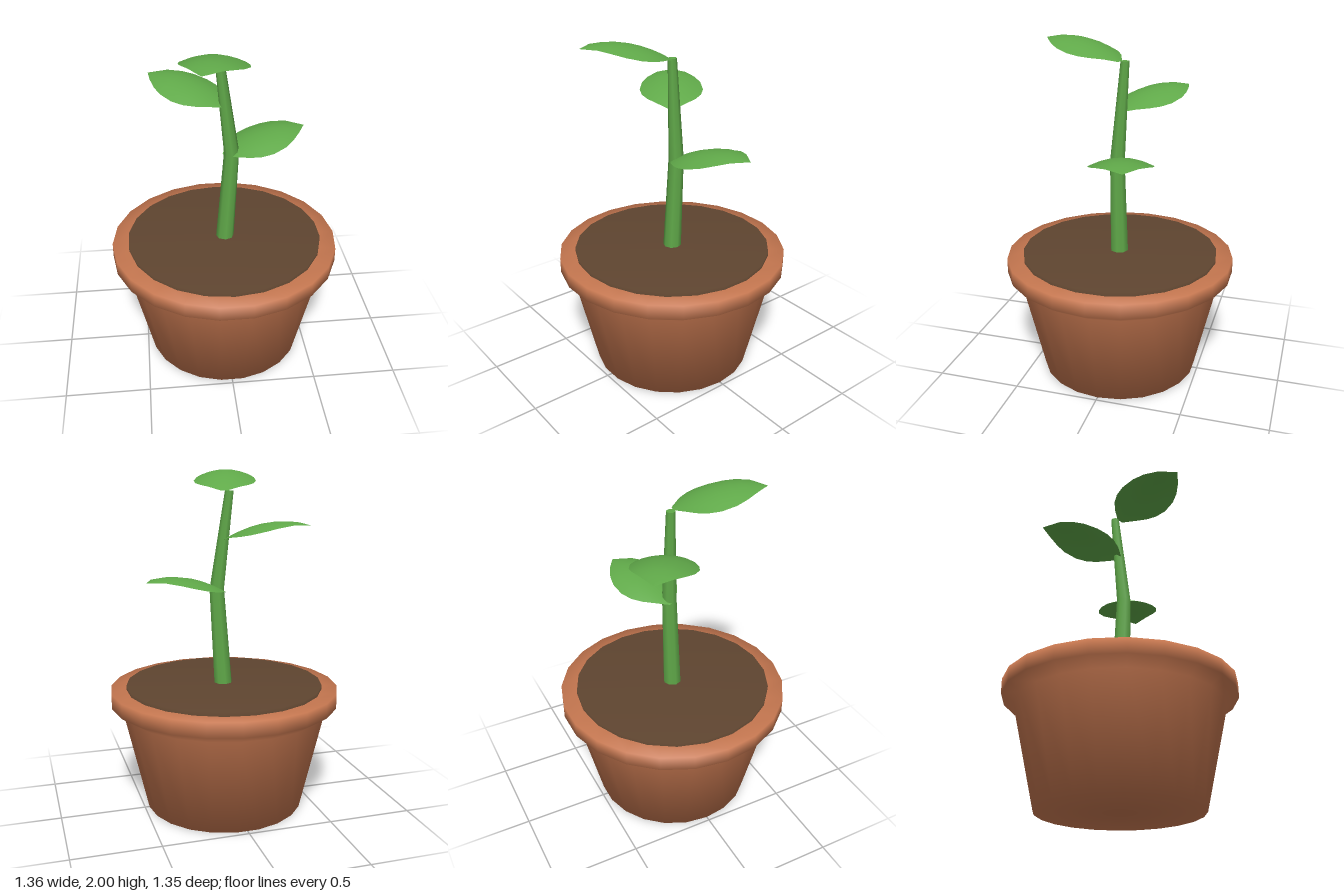
import * as THREE from 'three';

const terracotta = new THREE.MeshStandardMaterial({ name: 'terracotta', color: 0xc4764f });
const earth = new THREE.MeshStandardMaterial({ name: 'earth', color: 0x5f4530 });
const green = new THREE.MeshStandardMaterial({ name: 'green', color: 0x60a949, side: THREE.DoubleSide });

const SIDES = 22;

function lathe(name, points, material) {
  const profile = points.map(([r, y]) => new THREE.Vector2(r, y));
  const mesh = new THREE.Mesh(new THREE.LatheGeometry(profile, SIDES), material);
  mesh.name = name;
  return mesh;
}

// Tapered stem whose rings follow a bent centre line: [y, x, z, radius]
function makeStem() {
  const rings = [[1.885, -0.025, -0.022, 0.026], [1.32, 0.043, 0.003, 0.044], [0.74, 0.004, 0.002, 0.054]];
  const geo = new THREE.CylinderGeometry(1, 1, 2, 8, 2);
  const p = geo.attributes.position;
  for (let i = 0; i < p.count; i++) {
    const [y, x, z, r] = rings[1 - Math.round(p.getY(i))];
    p.setXYZ(i, x + p.getX(i) * r, y, z + p.getZ(i) * r);
  }
  geo.computeBoundingSphere();
  const mesh = new THREE.Mesh(geo, green);
  mesh.name = 'stem';
  return mesh;
}

// Arched leaf along +x, its edges drooping from the midrib: [along, half width]
function makeLeafGeometry() {
  const outline = [[0, 0.02], [0.1, 0.09], [0.2, 0.14], [0.31, 0.172], [0.44, 0.186],
    [0.6, 0.174], [0.72, 0.143], [0.85, 0.088], [1, 0]];
  const rows = outline.length - 1;
  const geo = new THREE.PlaneGeometry(2, rows, 6, rows);
  const p = geo.attributes.position;
  for (let i = 0; i < p.count; i++) {
    const [t, half] = outline[Math.round(p.getY(i) + rows / 2)];
    const side = p.getX(i) * half;
    const rise = 0.326 * t - 0.231 * t * t;
    p.setXYZ(i, t * 0.515, rise - 1.45 * side * side, side);
  }
  geo.computeVertexNormals();
  return geo;
}

export function createModel() {
  const model = new THREE.Group();
  model.name = 'pottedSeedling';

  // Pot with a flared rim
  const pot = lathe('pot', [[0, 0], [0.473, 0], [0.61, 0.595], [0.68, 0.643], [0.68, 0.73], [0.56, 0.73]], terracotta);
  pot.rotation.y = Math.PI / 2;
  model.add(pot);

  // Soil disc standing just above the rim
  model.add(lathe('soil', [[0.585, 0.7], [0.585, 0.752], [0, 0.752]], earth));

  model.add(makeStem());

  // Three leaves spiralling up the stem: [name, base height, tip x, tip z]
  const leafGeometry = makeLeafGeometry();
  for (const [name, y, x, z] of [
    ['lowerLeaf', 1.3, 0.49, -0.155],
    ['middleLeaf', 1.605, -0.41, -0.31],
    ['topLeaf', 1.885, -0.16, 0.49],
  ]) {
    const leaf = new THREE.Mesh(leafGeometry, green);
    leaf.name = name;
    leaf.position.y = y;
    leaf.rotation.y = Math.atan2(-z, x);
    model.add(leaf);
  }
  return model;
}
